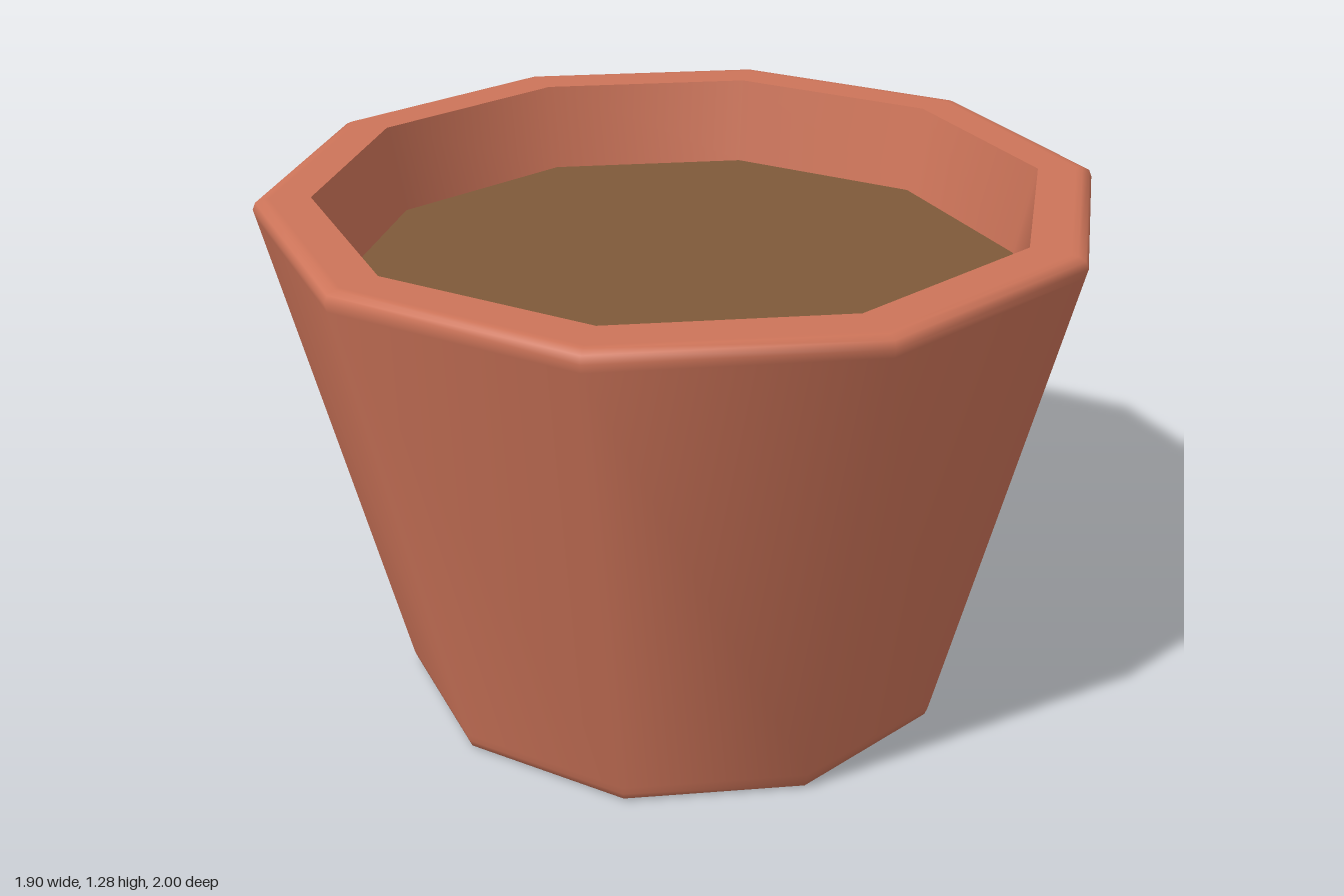
import * as THREE from 'three';

const SIDES = 10;

// Ten-sided surface of revolution from [radius, height] pairs
function lathe(name, profile, material) {
  const points = profile.map(([r, y]) => new THREE.Vector2(r, y));
  const mesh = new THREE.Mesh(new THREE.LatheGeometry(points, SIDES), material);
  mesh.name = name;
  return mesh;
}

export function createModel() {
  const terracotta = new THREE.MeshStandardMaterial({ color: 0xcd7459 });
  terracotta.name = 'terracotta';
  const earth = new THREE.MeshStandardMaterial({ color: 0x7f5a39 });
  earth.name = 'earth';

  const pot = new THREE.Group();
  pot.name = 'flowerPot';

  // Base, tapered wall and flat rim; extra points beside the bevels keep the faces evenly shaded
  pot.add(lathe('outerShell', [
    [0, 0], [0.67, 0], [0.68, 0], [0.695, 0.007], [0.702, 0.025], [0.707, 0.045],
    [0.995, 1.24], [1, 1.26], [0.993, 1.277], [0.975, 1.285], [0.96, 1.285], [0.865, 1.285],
  ], terracotta));

  // Inside of the wall, with a sharp edge at the rim
  pot.add(lathe('innerWall', [[0.865, 1.285], [0.82, 1.07]], terracotta));

  // Flat soil surface, with corners matching the wall
  const soil = new THREE.Mesh(new THREE.CircleGeometry(0.82, SIDES, Math.PI / 2), earth);
  soil.name = 'soil';
  soil.rotation.x = -Math.PI / 2;
  soil.position.y = 1.07;
  pot.add(soil);

  return pot;
}
